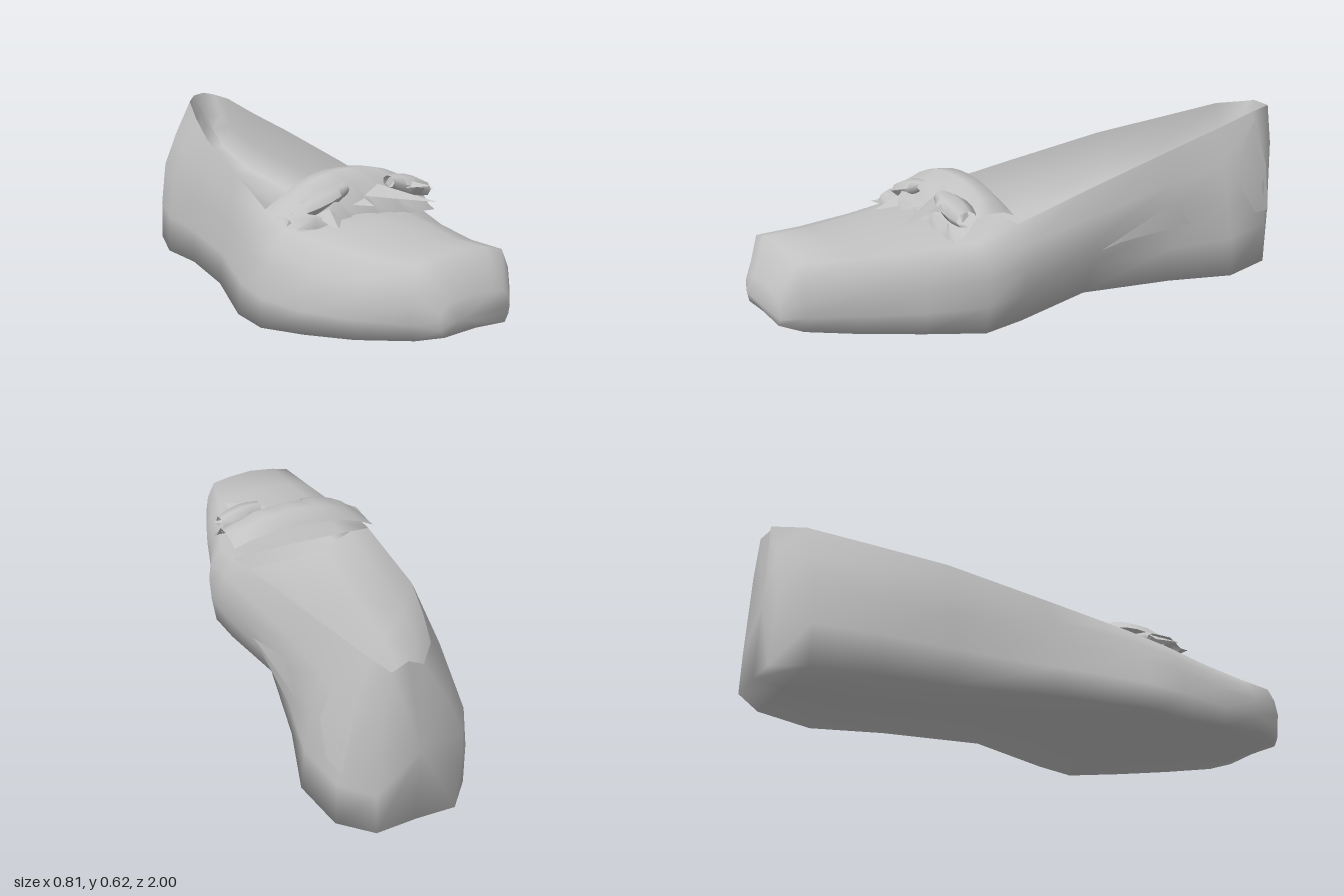
import * as THREE from 'three';
import { mergeGeometries, mergeVertices, toCreasedNormals } from 'three/addons/utils/BufferGeometryUtils.js';

const grey = new THREE.MeshStandardMaterial({ color: 0xc2c2c2, side: THREE.DoubleSide });
grey.name = 'grey leather';

// Stations from heel to toe:
// z, bottom y, bottom left/right x, side height, side left/right x, rim left/right x, rim y, crown y, lining depth
const stations = [
  [-1.00, 0.03, 0.02, 0.29, 0.32, 0.01, 0.29, 0.16, 0.26, 0.61, 0.61, 0.15],
  [-0.90, 0.02, -0.07, 0.38, 0.32, -0.05, 0.36, 0.08, 0.275, 0.598, 0.60, 0.21],
  [-0.70, 0.01, -0.15, 0.405, 0.30, -0.12, 0.37, -0.01, 0.275, 0.553, 0.56, 0.24],
  [-0.45, 0.02, -0.18, 0.33, 0.28, -0.17, 0.335, -0.11, 0.28, 0.502, 0.50, 0.23],
  [-0.10, 0.03, -0.28, 0.26, 0.25, -0.24, 0.335, -0.20, 0.28, 0.425, 0.43, 0.21],
  [0.20, 0.01, -0.395, 0.30, 0.22, -0.35, 0.34, -0.28, 0.28, 0.355, 0.36, 0.18],
  [0.35, 0.004, -0.405, 0.31, 0.20, -0.38, 0.33, -0.31, 0.28, 0.32, 0.35, 0.12],
  [0.55, 0.03, -0.38, 0.25, 0.18, -0.37, 0.25, -0.29, 0.20, 0.305, 0.355],
  [0.75, 0.06, -0.34, 0.19, 0.19, -0.345, 0.20, -0.27, 0.14, 0.30, 0.33],
  [0.92, 0.085, -0.25, 0.12, 0.19, -0.28, 0.14, -0.24, 0.10, 0.31, 0.335],
  [0.98, 0.10, -0.19, 0.06, 0.15, -0.21, 0.08, -0.18, 0.05, 0.20, 0.21],
];

// Skin a list of equally long point rows
function skin(rows) {
  const n = rows[0].length, index = [];
  for (let i = 0; i < rows.length - 1; i++) {
    for (let j = 0; j < n - 1; j++) {
      const a = i * n + j, b = a + n;
      index.push(a, a + 1, b, a + 1, b + 1, b);
    }
  }
  const g = new THREE.BufferGeometry();
  g.setAttribute('position', new THREE.Float32BufferAttribute(rows.flat(2), 3));
  g.setIndex(index);
  return g;
}

// Weld skins into one fully smooth surface
function smooth(...skins) {
  const g = mergeVertices(mergeGeometries(skins), 1e-4);
  g.computeVertexNormals();
  return g;
}

const creased = (rows, angle) => toCreasedNormals(mergeVertices(skin(rows)), angle);
const repeat = (point, row) => row.map(() => point);

// Outer wall and sole, from left rim under the foot to right rim
function outerRow([z, by, bl, br, sy, sl, sr, rl, rr, ry]) {
  return [
    [rl, ry, z], [(rl + sl) / 2 - 0.01, (ry + sy) / 2, z], [sl, sy, z],
    [(sl + bl) / 2 - 0.008, (sy + by) / 2, z], [bl, by, z],
    [(bl + br) / 2, by + 0.006, z],
    [br, by, z], [(sr + br) / 2 + 0.005, (sy + by) / 2, z], [sr, sy, z],
    [(rr + sr) / 2 + 0.01, (ry + sy) / 2, z], [rr, ry, z],
  ];
}

// Lining from right rim, down the steep wall and up the long slope to left rim
function liningRow([z, , , , , , , rl, rr, ry, , depth], i) {
  const iz = i === 0 ? z + 0.05 : z, w = rr - rl;
  return [
    [rr, ry, z], [rr + 0.005, ry - 0.6 * depth, iz], [rr - 0.03, ry - depth, iz],
    [rl + 0.6 * w, ry - depth, iz], [rl + 0.25 * w, ry - 0.85 * depth, iz],
    [rl + 0.06 * w, ry - 0.45 * depth, iz], [rl, ry, z],
  ];
}

// Closed top of the toe, from right to left
function vampRow([z, , , , , , , rl, rr, ry, cy]) {
  return [1, 0.8, 0.5, 0.2, 0].map((t) => [
    rl + (rr - rl) * t, ry + (cy - ry) * Math.sin(Math.PI * t), z,
  ]);
}

// Gathered ribbon arching across the throat
function ribbonBand() {
  const rows = [];
  for (let i = 0; i <= 10; i++) {
    const u = i / 10, x = -0.31 + 0.58 * u;
    const rise = 1 - Math.abs(2 * u - 1.1) ** 2.5;
    const fold = (i % 2 ? 1 : -1) * 0.012, z = 0.03 * u + 0.04 * (1 - u) ** 3;
    rows.push([
      [x, 0.37 + 0.06 * rise, 0.18 + z],
      [x, 0.38 + 0.1 * rise, 0.22 + z],
      [x, 0.385 + 0.1 * rise, 0.28 + z],
      [x, 0.37 + 0.075 * rise - fold, 0.33 + z],
      [x, 0.35 + 0.03 * rise + fold, 0.39 + z + fold],
      [x, 0.33, 0.41 + z],
    ].reverse());
  }
  return creased(rows, 1.3);
}

// Puffed open loop at a ribbon end
function ribbonLoop(x0, x1, y0, y1, z, r) {
  const rows = [];
  for (let i = 0; i <= 4; i++) {
    const u = i / 4, s = r * (0.35 + 0.65 * Math.sin(Math.PI * (0.1 + 0.7 * u)));
    const row = [];
    for (let j = 0; j <= 7; j++) {
      const a = (j / 7) * Math.PI * 2;
      row.push([x0 + (x1 - x0) * u, y0 + (y1 - y0) * u + s * 0.7 * Math.sin(a), z + s * Math.cos(a)]);
    }
    rows.push(row);
  }
  return creased(rows, 1.2);
}

// Folded pointed pleat from root to tip
function pleat([x, y, z], tip, w) {
  const root = [[x - w, y - 0.02, z], [x, y + 0.015, z], [x + w, y - 0.015, z + 0.01]];
  return creased([root, repeat(tip, root)], 0.3);
}

export function createModel() {
  const model = new THREE.Group();
  const add = (name, geometry, parent = model) => {
    const mesh = new THREE.Mesh(geometry, grey);
    mesh.name = name;
    parent.add(mesh);
  };

  // Upper and sole: wall, vamp, heel back and toe tip in one smooth skin
  const outer = stations.map(outerRow);
  const vamp = stations.slice(5).map(vampRow);
  const heel = [0.15, 0.3, -1.0], toe = [-0.15, 0.15, 1.0];
  const heelTop = [[0.26, 0.61, -1.0], [0.2, 0.622, -0.985], [0.16, 0.61, -1.0]];
  add('upperAndSole', smooth(
    skin([repeat(heel, outer[0]), ...outer, repeat(toe, outer[0])]),
    skin([...vamp, repeat(toe, vamp[0])]),
    skin([repeat(heel, heelTop), heelTop]),
  ));

  // Lining, with the inside of the heel
  const lining = stations.slice(0, 7).map(liningRow);
  const cup = [...lining[0], heelTop[1], lining[0][0]];
  add('lining', smooth(skin(lining), skin([repeat([0.2, 0.52, -0.955], cup), cup])));

  // Side seam and heel patches on the left wall
  add('sideSeam', creased([
    [[0.335, 0.21, -0.12], [0.345, 0.325, -0.43]],
    [[0.34, 0.225, -0.2], [0.352, 0.24, -0.535]],
  ], 1.0));
  const patch = [
    [0.292, 0.57, -0.90], [0.33, 0.46, -0.79], [0.371, 0.33, -0.77],
    [0.382, 0.23, -0.84], [0.37, 0.225, -0.92], [0.34, 0.4, -0.925], [0.292, 0.57, -0.90],
  ];
  add('heelPatch', creased([repeat([0.355, 0.38, -0.86], patch), patch], 1.0));

  // Bow
  const bow = new THREE.Group();
  bow.name = 'bow';
  model.add(bow);
  add('ribbonBand', ribbonBand(), bow);
  add('rightLoop', ribbonLoop(-0.07, -0.25, 0.43, 0.375, 0.36, 0.05), bow);
  add('leftLoop', ribbonLoop(0.10, 0.26, 0.44, 0.40, 0.39, 0.055), bow);
  const tails = [
    [[-0.25, 0.37, 0.32], [-0.33, 0.34, 0.39], 0.04],
    [[-0.16, 0.38, 0.38], [-0.2, 0.33, 0.5], 0.06],
    [[-0.03, 0.40, 0.38], [-0.02, 0.38, 0.46], 0.05],
    [[0.06, 0.42, 0.38], [0.16, 0.39, 0.57], 0.06],
    [[0.15, 0.43, 0.38], [0.2, 0.43, 0.5], 0.05],
    [[0.2, 0.42, 0.36], [0.28, 0.40, 0.42], 0.04],
  ];
  tails.forEach(([root, tip, w], i) => add('pleat' + (i + 1), pleat(root, tip, w), bow));

  return model;
}
